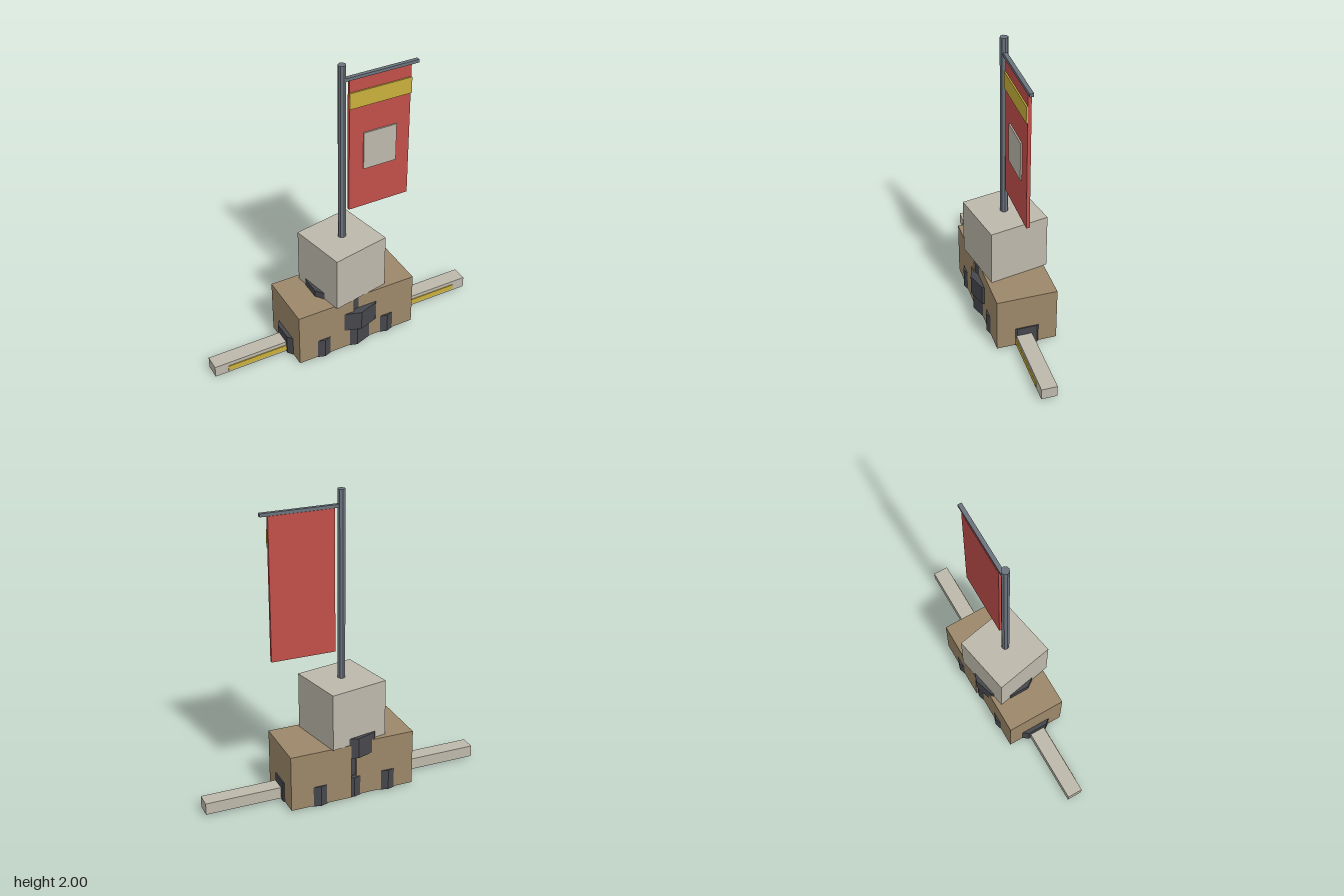
import * as THREE from 'three';

const mat = (name, color) => {
  const m = new THREE.MeshStandardMaterial({ color });
  m.name = name;
  return m;
};

export function createModel() {
  const root = new THREE.Group();
  root.name = 'bannerOnCrates';

  const wood = mat('brown wood', 0x9c8769);
  const pale = mat('pale grey', 0xbdb8ab);
  const rubber = mat('dark rubber', 0x46474c);
  const steel = mat('steel', 0x6b737d);
  const red = mat('banner red', 0xc2504a);
  const yellow = mat('yellow', 0xc9b03c);

  const add = (name, geo, material, x, y, z) => {
    const mesh = new THREE.Mesh(geo, material);
    mesh.name = name;
    mesh.position.set(x, y, z);
    root.add(mesh);
    return mesh;
  };

  // box given by its extents on each axis
  const box = (name, material, [x0, x1], [y0, y1], [z0, z1]) =>
    add(name, new THREE.BoxGeometry(x1 - x0, y1 - y0, z1 - z0), material,
      (x0 + x1) / 2, (y0 + y1) / 2, (z0 + z1) / 2);

  // upright faceted disc or post
  const prism = (name, material, r, sides, [y0, y1], x, z) => {
    const geo = new THREE.CylinderGeometry(r, r, y1 - y0, sides).toNonIndexed();
    geo.computeVertexNormals();
    return add(name, geo, material, x, (y0 + y1) / 2, z);
  };

  // crates: two side by side, one turned on top
  box('leftCrate', wood, [0.025, 0.437], [0.01, 0.388], [-0.22, 0.18]);
  box('rightCrate', wood, [-0.418, -0.02], [0.01, 0.388], [-0.2, 0.2]);
  const top = box('topCrate', pale, [-0.2, 0.2], [0.39, 0.77], [-0.205, 0.195]);
  top.rotation.y = 0.19;

  // ten-sided plates: a row on the ground and two stacked in the middle
  const plates = [
    [-0.24, 0, 0], [0, 0, 0], [0.24, 0, -0.02],
    [0.02, 0.145, 0.02], [-0.02, 0.29, -0.02],
  ];
  for (const [x, y, z] of plates) {
    prism('plate', rubber, 0.215, 10, [y + 0.006, y + 0.145], x, z);
    prism('plateHub', steel, 0.12, 10, [y, y + 0.14], x, z);
  }

  // long beam with a painted stripe on the front
  box('beam', pale, [-0.95, 0.947], [0.012, 0.09], [-0.052, 0.052]);
  box('beamStripe', yellow, [-0.86, 0.855], [0.026, 0.064], [0.05, 0.058]);

  // pole, crossbar and banner
  prism('pole', steel, 0.026, 8, [0.01, 2], 0, 0);
  box('crossbar', steel, [0.01, 0.52], [1.887, 1.908], [-0.013, 0.013]);
  box('banner', red, [0.048, 0.472], [0.96, 1.888], [-0.016, 0.006]);
  box('bannerStripe', yellow, [0.046, 0.474], [1.693, 1.802], [0.006, 0.0155]);
  box('bannerPatch', pale, [0.145, 0.375], [1.242, 1.502], [0.006, 0.0155]);

  return root;
}
